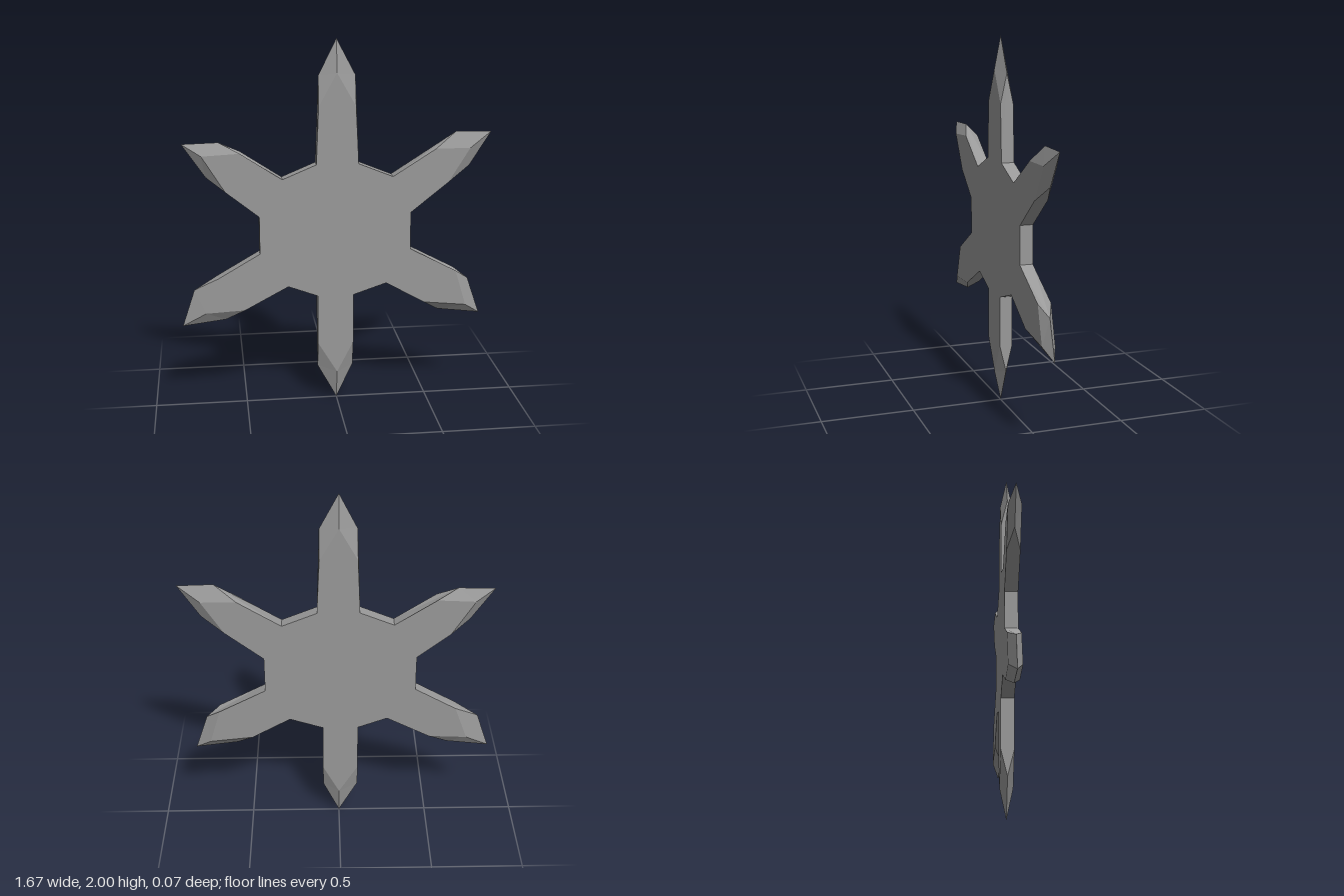
import * as THREE from 'three';

const H = 0.035; // half thickness
const steel = new THREE.MeshStandardMaterial({ color: 0x999999 });
steel.name = 'steel grey';

// Each arm runs counter-clockwise: base, inner, shoulder, tip, shoulder, inner, base; apex is the end of the flat face
const ARMS = [
  { name: 'upperLeftModelArm', rim: [[0.40, 1.07], [0.60, 1.23], [0.72, 1.315], [0.835, 1.497], [0.645, 1.502], [0.53, 1.415], [0.30, 1.27]], apex: [0.715, 1.415] },
  { name: 'topArm', rim: [[0.115, 1.345], [0.10, 1.65], [0.10, 1.81], [0, 2], [-0.095, 1.81], [-0.097, 1.65], [-0.11, 1.345]], apex: [0, 1.825] },
  { name: 'upperRightModelArm', rim: [[-0.29, 1.27], [-0.51, 1.415], [-0.62, 1.47], [-0.812, 1.465], [-0.69, 1.285], [-0.59, 1.21], [-0.415, 1.07]], apex: [-0.71, 1.405] },
  { name: 'lowerRightModelArm', rim: [[-0.415, 0.865], [-0.64, 0.735], [-0.77, 0.665], [-0.838, 0.462], [-0.605, 0.49], [-0.50, 0.55], [-0.265, 0.675]], apex: [-0.71, 0.54] },
  { name: 'bottomArm', rim: [[-0.105, 0.615], [-0.105, 0.34], [-0.105, 0.195], [0, 0], [0.09, 0.195], [0.09, 0.34], [0.09, 0.615]], apex: [0, 0.165] },
  { name: 'lowerLeftModelArm', rim: [[0.27, 0.675], [0.48, 0.555], [0.565, 0.50], [0.80, 0.47], [0.73, 0.675], [0.655, 0.73], [0.40, 0.865]], apex: [0.715, 0.53] },
];

// Flat-faced arm whose end is bevelled to a knife edge
function armGeometry({ rim, apex }) {
  const pos = [];
  const tri = (a, b, c) => pos.push(...a, ...b, ...c);
  for (const s of [1, -1]) {
    const face = (a, b, c) => (s > 0 ? tri(a, b, c) : tri(a, c, b));
    const [b1, i1, , , , i2, b2] = rim.map(([x, y]) => [x, y, s * H]);
    const [, , s1, tip, s2] = rim.map(([x, y]) => [x, y, 0]);
    const top = [...apex, s * H];
    // flat face
    face(b1, i1, b2);
    face(i1, i2, b2);
    face(i1, top, i2);
    // bevels
    face(i1, s1, top);
    face(s1, tip, top);
    face(top, tip, s2);
    face(top, s2, i2);
    // side walls
    face(b1, s1, i1);
    face(b2, i2, s2);
  }
  // remaining centre wedge of both side walls
  const [b1, , s1, , s2, , b2] = rim;
  tri([...b1, H], [...b1, -H], [...s1, 0]);
  tri([...b2, -H], [...b2, H], [...s2, 0]);
  const geo = new THREE.BufferGeometry();
  geo.setAttribute('position', new THREE.Float32BufferAttribute(pos, 3));
  geo.computeVertexNormals();
  return geo;
}

export function createModel() {
  const star = new THREE.Group();
  star.name = 'sixPointStar';

  // Hub joins the bases of all arms
  const outline = ARMS.flatMap(({ rim }) => [rim[0], rim[6]]).map(([x, y]) => new THREE.Vector2(x, y));
  const hubGeo = new THREE.ExtrudeGeometry(new THREE.Shape(outline), { depth: 2 * H, bevelEnabled: false });
  hubGeo.translate(0, 0, -H);
  const hub = new THREE.Mesh(hubGeo, steel);
  hub.name = 'hub';
  star.add(hub);

  for (const arm of ARMS) {
    const mesh = new THREE.Mesh(armGeometry(arm), steel);
    mesh.name = arm.name;
    star.add(mesh);
  }
  return star;
}
